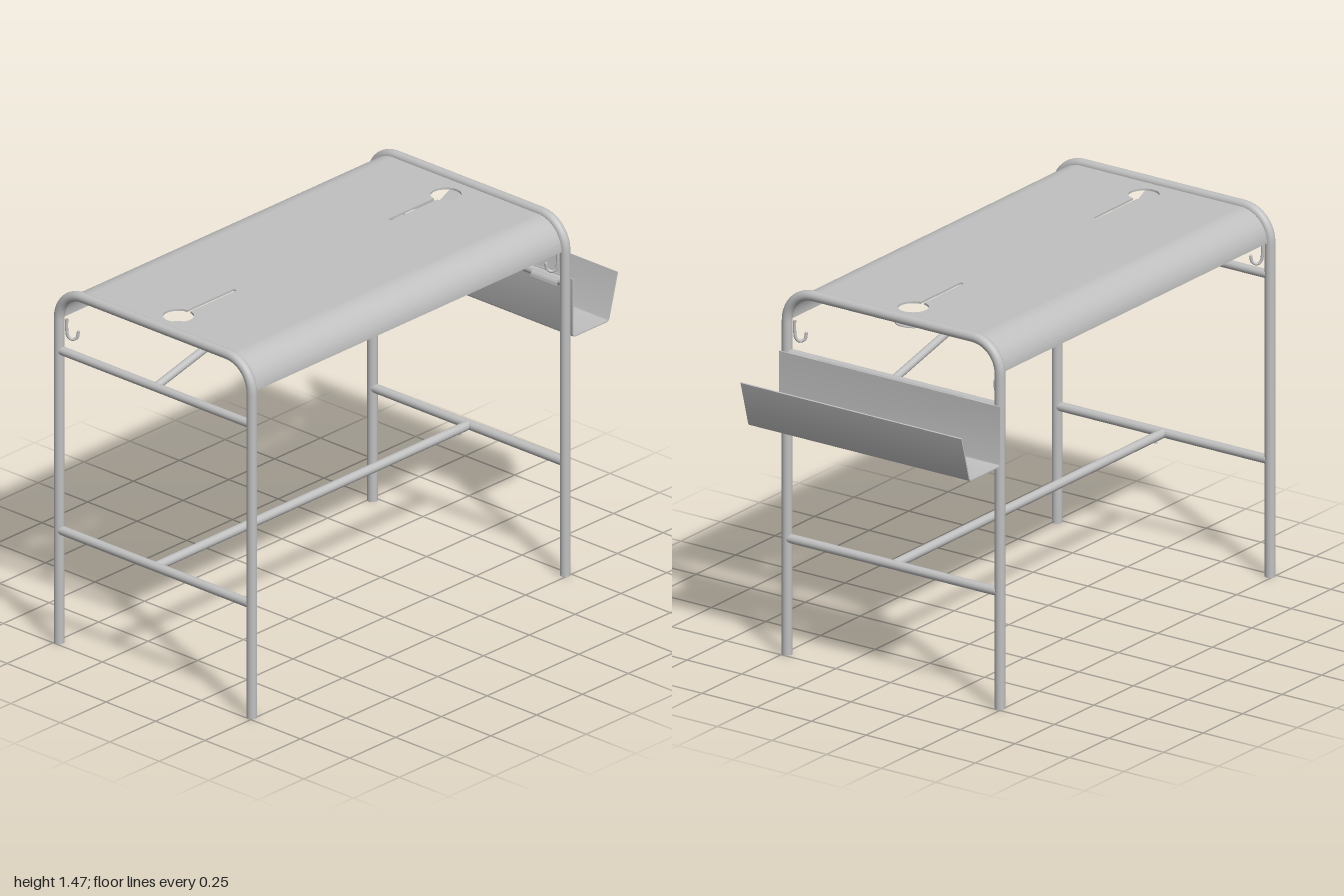
import * as THREE from 'three';
import { toCreasedNormals } from 'three/addons/utils/BufferGeometryUtils.js';

const V = (x, y, z) => new THREE.Vector3(x, y, z);

export function createModel() {
  const model = new THREE.Group();
  model.name = 'desk';
  const steel = new THREE.MeshStandardMaterial({ color: 0xc0c0c0, side: THREE.DoubleSide });
  steel.name = 'grey steel';

  const LEFT = 0.73, RIGHT = -0.98, MID = -0.125; // frame planes and desk centre along x
  const LEG_Z = 0.487, R = 0.02, BEND = 0.12, TOP = 1.445, BAR_Y = 1.195, LOW_Y = 0.461;

  const add = (name, geometry, parent = model) => {
    const mesh = new THREE.Mesh(geometry, steel);
    mesh.name = name;
    parent.add(mesh);
    return mesh;
  };
  // round bar between two points
  const rod = (name, a, b, r, parent = model) => {
    const mesh = add(name, new THREE.CylinderGeometry(r, r, a.distanceTo(b), 20), parent);
    mesh.position.copy(a).add(b).multiplyScalar(0.5);
    mesh.quaternion.setFromUnitVectors(V(0, 1, 0), b.clone().sub(a).normalize());
    return mesh;
  };
  // cross-section in x/y or z/y extruded along the remaining axis, centred
  const sweep = (shape, length) => {
    const g = new THREE.ExtrudeGeometry(shape, { depth: length, bevelEnabled: false, curveSegments: 16 });
    g.translate(0, 0, -length / 2);
    return toCreasedNormals(g, 0.6);
  };

  // End frames: one bent tube each, with side bars, and hooks on the legs
  const corner = Math.SQRT1_2 * BEND;
  for (const [side, x, inward] of [['left', LEFT, -1], ['right', RIGHT, 1]]) {
    const frame = new THREE.Group();
    frame.name = side + 'EndFrame';
    model.add(frame);

    const path = new THREE.CurvePath();
    const bendPoints = (s) => {
      const pts = [];
      for (let i = 0; i <= 12; i++) {
        const t = (i / 12) * Math.PI / 2;
        pts.push(V(x, TOP - BEND + BEND * Math.sin(t), s * (LEG_Z - BEND + BEND * Math.cos(t))));
      }
      return pts;
    };
    const points = [V(x, 0, LEG_Z), ...bendPoints(1), ...bendPoints(-1).reverse(), V(x, 0, -LEG_Z)];
    for (let i = 1; i < points.length; i++) path.add(new THREE.LineCurve3(points[i - 1], points[i]));
    add('legTube', new THREE.TubeGeometry(path, 240, R, 20), frame);

    rod('upperSideBar', V(x, BAR_Y, -LEG_Z), V(x, BAR_Y, LEG_Z), 0.017, frame);
    rod('lowerSideBar', V(x, LOW_Y, -LEG_Z), V(x, LOW_Y, LEG_Z), 0.018, frame);

    for (const s of [1, -1]) {
      const foot = add('footCap', new THREE.CircleGeometry(R, 20), frame);
      foot.rotation.x = Math.PI / 2;
      foot.position.set(x, 0, s * LEG_Z);

      // J-shaped hook pointing diagonally inward
      const at = (d, y) => V(x + inward * d * 0.8, y, s * (LEG_Z - d));
      const hook = new THREE.CatmullRomCurve3([
        at(0.022, 1.32), at(0.022, 1.28), at(0.026, 1.25), at(0.038, 1.238), at(0.052, 1.247), at(0.056, 1.27),
      ]);
      add('bagHook', new THREE.TubeGeometry(hook, 24, 0.006, 8), frame);
      const tip = add('hookTip', new THREE.SphereGeometry(0.006, 8, 6), frame);
      tip.position.copy(at(0.056, 1.27));
    }
  }

  // Stretcher between the lower bars with its small screws
  rod('stretcher', V(RIGHT, LOW_Y, 0), V(LEFT, LOW_Y, 0), 0.018);
  for (const x of [RIGHT + 0.05, LEFT - 0.05]) rod('stretcherScrew', V(x, 0.436, 0), V(x, 0.45, 0), 0.007);

  // Sloping braces meeting under the middle of the top
  const apex = V(MID, 1.402, 0);
  rod('leftBrace', V(LEFT, BAR_Y, 0), apex, 0.0155);
  rod('rightBrace', V(RIGHT, BAR_Y, 0), apex, 0.0155);
  add('braceBend', new THREE.SphereGeometry(0.0155, 16, 12)).position.copy(apex);
  rod('topSupportBar', V(MID, 1.418, -0.42), V(MID, 1.418, 0.42), 0.014);

  // Desktop: flat panel with keyhole cut-outs
  const x0 = RIGHT + 0.015, x1 = LEFT - 0.015, flat = LEG_Z - BEND, T = 0.008;
  const panel = new THREE.Shape([
    new THREE.Vector2(x0, -flat), new THREE.Vector2(x1, -flat),
    new THREE.Vector2(x1, flat), new THREE.Vector2(x0, flat),
  ]);
  const holeR = 0.058, slit = 0.008;
  for (const s of [1, -1]) {
    const cx = MID + s * 0.73, a = Math.asin(slit / holeR), keyhole = [];
    for (let i = 0; i <= 40; i++) {
      const t = a + (i / 40) * (2 * Math.PI - 2 * a);
      keyhole.push(new THREE.Vector2(cx - s * holeR * Math.cos(t), holeR * Math.sin(t)));
    }
    const end = MID + s * 0.42;
    keyhole.push(new THREE.Vector2(end, -slit), new THREE.Vector2(end, slit));
    panel.holes.push(new THREE.Path(keyhole));

    // cover disc hanging under the hole on a slanted tab
    const disc = add('holeDisc', new THREE.CylinderGeometry(0.07, 0.07, 0.004, 32));
    disc.position.set(cx, 1.388, 0);
    const tab = new THREE.BufferGeometry();
    tab.setAttribute('position', new THREE.Float32BufferAttribute([
      cx + s * 0.09, 1.437, -0.045, cx + s * 0.09, 1.437, 0.045,
      cx + s * 0.03, 1.388, 0.062, cx + s * 0.03, 1.388, -0.062,
    ], 3));
    tab.setIndex(s > 0 ? [0, 1, 2, 0, 2, 3] : [0, 2, 1, 0, 3, 2]);
    tab.computeVertexNormals();
    add('discTab', tab);
  }
  const topGeo = new THREE.ExtrudeGeometry(panel, { depth: T, bevelEnabled: false });
  topGeo.rotateX(-Math.PI / 2);
  topGeo.translate(0, TOP - T, 0);
  add('desktop', toCreasedNormals(topGeo, 0.6));

  // Rolled front and back edges of the desktop
  for (const s of [1, -1]) {
    const arc = new THREE.Shape();
    arc.absarc(0, 0, BEND, 0, Math.PI / 2, false);
    arc.absarc(0, 0, BEND - T, Math.PI / 2, 0, true);
    const edge = add(s > 0 ? 'frontEdge' : 'backEdge', sweep(arc, x1 - x0));
    edge.rotation.y = -s * Math.PI / 2;
    edge.position.set(MID, TOP - BEND, s * flat);
  }

  // Side tray: bent sheet with a slot in its floor
  const tray = new THREE.Group();
  tray.name = 'sideTray';
  model.add(tray);
  const W = 1.01, t = 0.005, slotL = 0.26, slotX0 = 0.844, slotX1 = 0.862;
  const profile = (pts) => new THREE.Shape(pts.map(([x, y]) => new THREE.Vector2(x, y)));
  add('trayInnerWall', sweep(profile([
    [0.751, 1.205], [0.751, 0.98], [0.754, 0.971], [0.764, 0.967], [slotX0, 0.967],
    [slotX0, 0.967 + t], [0.766, 0.967 + t], [0.758, 0.975], [0.756, 0.982], [0.756, 1.205],
  ]), W), tray);
  add('trayOuterWall', sweep(profile([
    [slotX1, 0.967], [0.936, 0.967], [0.946, 0.97], [0.952, 0.978], [1.0, 1.152],
    [0.995, 1.154], [0.947, 0.981], [0.943, 0.974], [0.934, 0.967 + t], [slotX1, 0.967 + t],
  ]), W), tray);
  const stripL = (W - slotL) / 2;
  for (const s of [1, -1]) {
    const strip = add('trayFloor', new THREE.BoxGeometry(slotX1 - slotX0, t, stripL), tray);
    strip.position.set((slotX0 + slotX1) / 2, 0.967 + t / 2, s * (slotL + stripL) / 2);

    // curled lug that hangs the tray on the side bar
    const lug = new THREE.Shape();
    lug.absarc(0, 0, 0.026, 0, Math.PI, false);
    lug.absarc(0, 0, 0.021, Math.PI, 0, true);
    const mesh = add('trayLug', sweep(lug, 0.13), tray);
    mesh.position.set(LEFT, BAR_Y - 0.012, s * 0.4);
  }
  return model;
}
